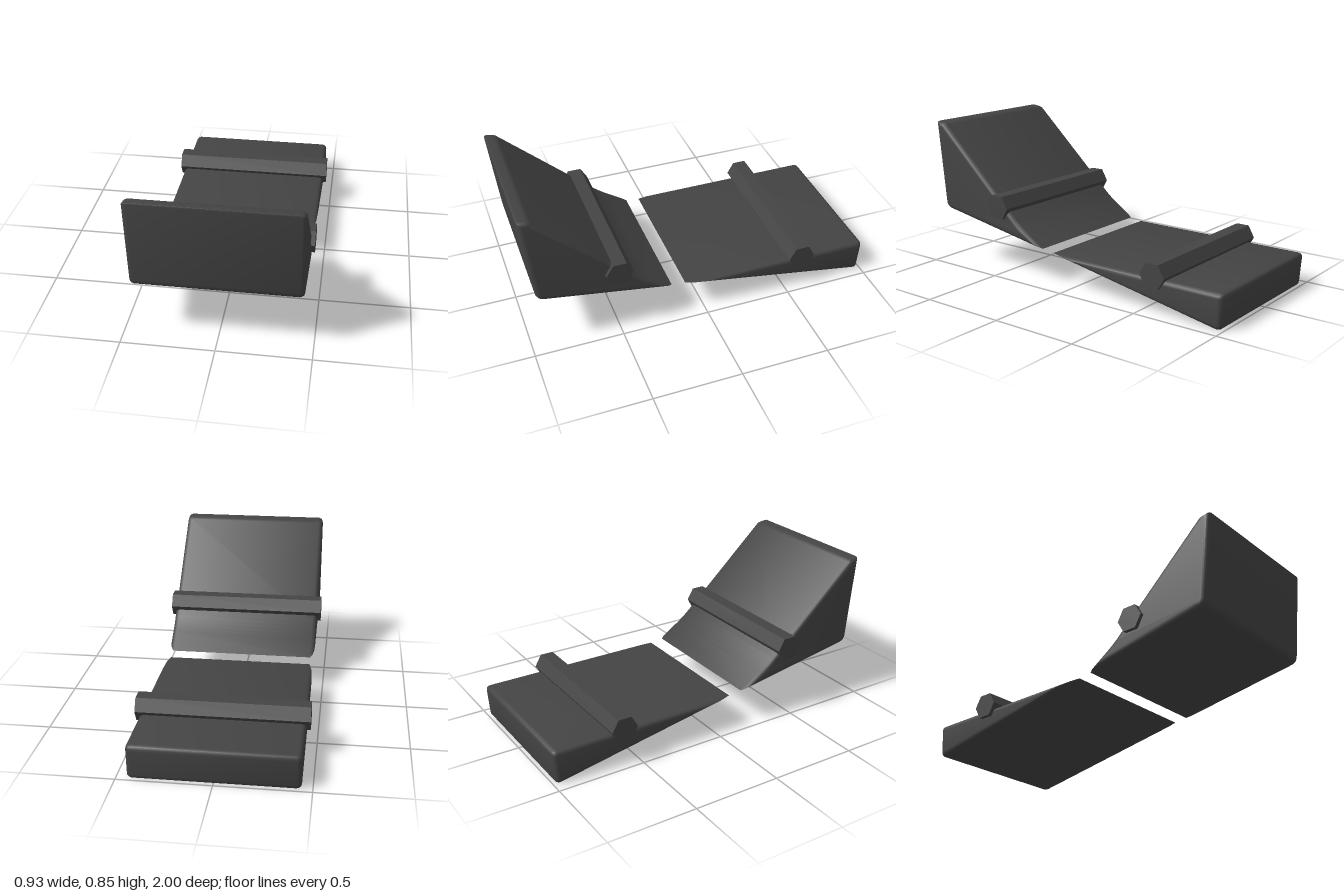
import * as THREE from 'three';
import { toCreasedNormals } from 'three/addons/utils/BufferGeometryUtils.js';

// Insets a [z, y, radius] outline by d with mitred corners, then rounds each corner
function outline(corners, d) {
  const n = corners.length;
  const P = corners.map(c => new THREE.Vector2(c[0], c[1]));
  const inward = P.map((p, i) => {
    const t = P[(i + 1) % n].clone().sub(p).normalize();
    return new THREE.Vector2(t.y, -t.x);
  });
  const Q = P.map((p, i) => {
    const a = inward[(i + n - 1) % n], b = inward[i];
    return p.clone().addScaledVector(a.clone().add(b), d / (1 + a.dot(b)));
  });
  const out = [];
  Q.forEach((q, i) => {
    if (!corners[i][2]) { out.push(q); return; }
    const r = Math.max(corners[i][2] - d, 0.004);
    const toward = k => q.clone().add(Q[(i + k) % n].clone().sub(q).setLength(r));
    const curve = new THREE.QuadraticBezierCurve(toward(n - 1), q, toward(1));
    out.push(...curve.getPoints(4));
  });
  return out;
}

// Lofts the outline across the width, softening the long side edges
function wedge(corners) {
  const edge = [[0.445, 0.025], [0.442, 0.013], [0.434, 0.005], [0.42, 0]];
  const sections = [
    ...edge.map(([x, d]) => [-x, d]),
    ...edge.slice().reverse(),
  ].map(([x, d]) => ({ x, pts: outline(corners, d) }));
  const pos = [];
  const put = (s, j) => pos.push(s.x, s.pts[j].y, s.pts[j].x);
  for (let i = 0; i < sections.length - 1; i++) {
    const s = sections[i], u = sections[i + 1], n = s.pts.length;
    for (let j = 0; j < n; j++) {
      const k = (j + 1) % n;
      put(s, j); put(s, k); put(u, k);
      put(s, j); put(u, k); put(u, j);
    }
  }
  // Flat side faces
  const first = sections[0], last = sections[sections.length - 1];
  const flat = last.pts.map(p => new THREE.Vector2(p.y, p.x));
  for (const [a, b, c] of THREE.ShapeUtils.triangulateShape(flat, [])) {
    put(last, a); put(last, b); put(last, c);
    put(first, a); put(first, c); put(first, b);
  }
  const g = new THREE.BufferGeometry();
  g.setAttribute('position', new THREE.Float32BufferAttribute(pos, 3));
  return toCreasedNormals(g, 0.6);
}

export function createModel() {
  const group = new THREE.Group();
  const charcoal = new THREE.MeshStandardMaterial({ color: 0x444444 });
  charcoal.name = 'charcoal';

  const add = (name, geometry) => {
    const mesh = new THREE.Mesh(geometry, charcoal);
    mesh.name = name;
    group.add(mesh);
    return mesh;
  };

  // Steep front block, low rear block
  add('frontWedge', wedge([
    [0.19, 0.207, 0], [0.36, 0.32, 0.06], [0.94, 0.85, 0.015],
    [1.003, 0.86, 0.01], [0.947, 0.337, 0.04],
  ]));
  add('rearWedge', wedge([
    [0.11, 0.198, 0], [-0.985, 0, 0.03], [-1.0, 0.198, 0.03],
  ]));

  // Hexagonal cross bars
  const bar = new THREE.CylinderGeometry(0.077, 0.077, 0.934, 6).rotateZ(Math.PI / 2);
  const hexBar = toCreasedNormals(bar, 0.3);
  add('frontCrossBar', hexBar).position.set(0, 0.41, 0.495);
  add('rearCrossBar', hexBar).position.set(0, 0.218, -0.59);

  return group;
}
